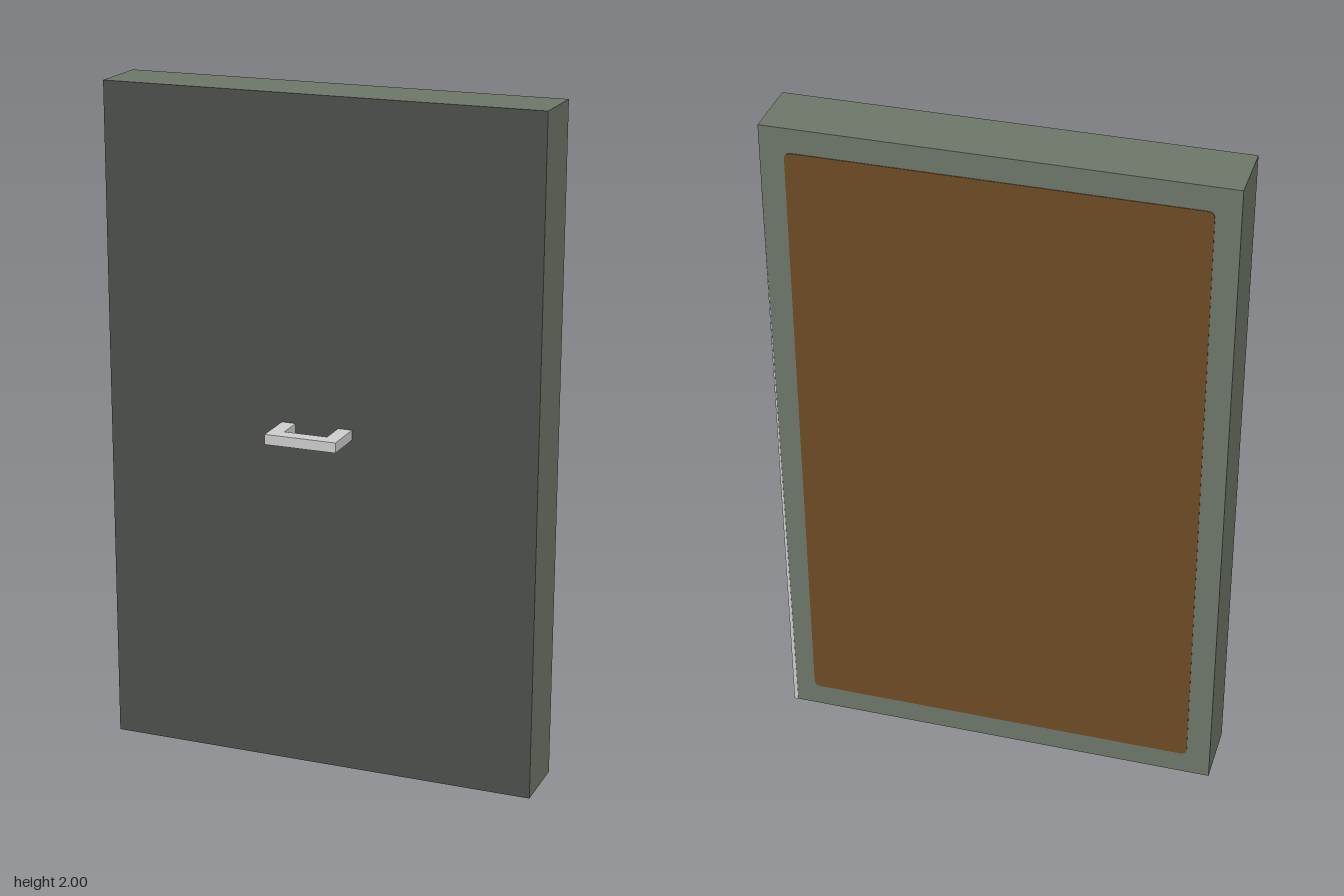
import * as THREE from 'three';

const material = (name, color) => {
  const m = new THREE.MeshStandardMaterial({ color });
  m.name = name;
  return m;
};

export function createModel() {
  const frameGreen = material('greyGreenFrame', 0x6f776a);
  const frontGrey = material('darkGreyFront', 0x4d504b);
  const handleGrey = material('lightGreyHandle', 0xd0d0d0);
  const brown = material('brownPanel', 0x6e4c24);

  const group = new THREE.Group();
  group.name = 'door';
  const add = (name, geometry, mat, x = 0, y = 0, z = 0) => {
    const mesh = new THREE.Mesh(geometry, mat);
    mesh.name = name;
    mesh.position.set(x, y, z);
    group.add(mesh);
    return mesh;
  };

  const W = 1.31, H = 2, FRONT = 0.033, BACK = -0.16;

  // Door slab, with a darker front face
  add('slab', new THREE.BoxGeometry(W, H, FRONT - BACK),
    [frameGreen, frameGreen, frameGreen, frameGreen, frontGrey, frameGreen],
    0, H / 2, (FRONT + BACK) / 2);

  // Rounded inset panel on the back, a thin plate
  const w = W / 2 - 0.07, b = 0.07, t = H - 0.073, r = 0.02;
  const panel = new THREE.Shape();
  panel.moveTo(-w + r, b);
  panel.lineTo(w - r, b);
  panel.quadraticCurveTo(w, b, w, b + r);
  panel.lineTo(w, t - r);
  panel.quadraticCurveTo(w, t, w - r, t);
  panel.lineTo(-w + r, t);
  panel.quadraticCurveTo(-w, t, -w, t - r);
  panel.lineTo(-w, b + r);
  panel.quadraticCurveTo(-w, b, -w + r, b);
  add('backPanel', new THREE.ExtrudeGeometry(panel, { depth: 0.004, bevelEnabled: false, curveSegments: 4 }),
    brown, 0, 0, BACK - 0.002);

  // Narrow tapering edge strip on the back
  const strip = new THREE.Shape([
    new THREE.Vector2(W / 2, 0), new THREE.Vector2(W / 2, 1.8), new THREE.Vector2(W / 2 - 0.012, 0),
  ]);
  add('edgeStrip', new THREE.ExtrudeGeometry(strip, { depth: 0.002, bevelEnabled: false }),
    handleGrey, 0, 0, BACK - 0.001);

  // U-shaped pull handle, drawn from above and laid flat
  const handle = new THREE.Shape([
    [-0.113, 0.03], [-0.113, 0.16], [0.102, 0.16], [0.102, 0.03],
    [0.06, 0.03], [0.06, 0.117], [-0.07, 0.117], [-0.07, 0.03],
  ].map(([x, z]) => new THREE.Vector2(x, z)));
  const handleMesh = add('handle', new THREE.ExtrudeGeometry(handle, { depth: 0.03, bevelEnabled: false }),
    handleGrey, 0, 1.05, 0);
  handleMesh.rotation.x = Math.PI / 2;

  return group;
}
